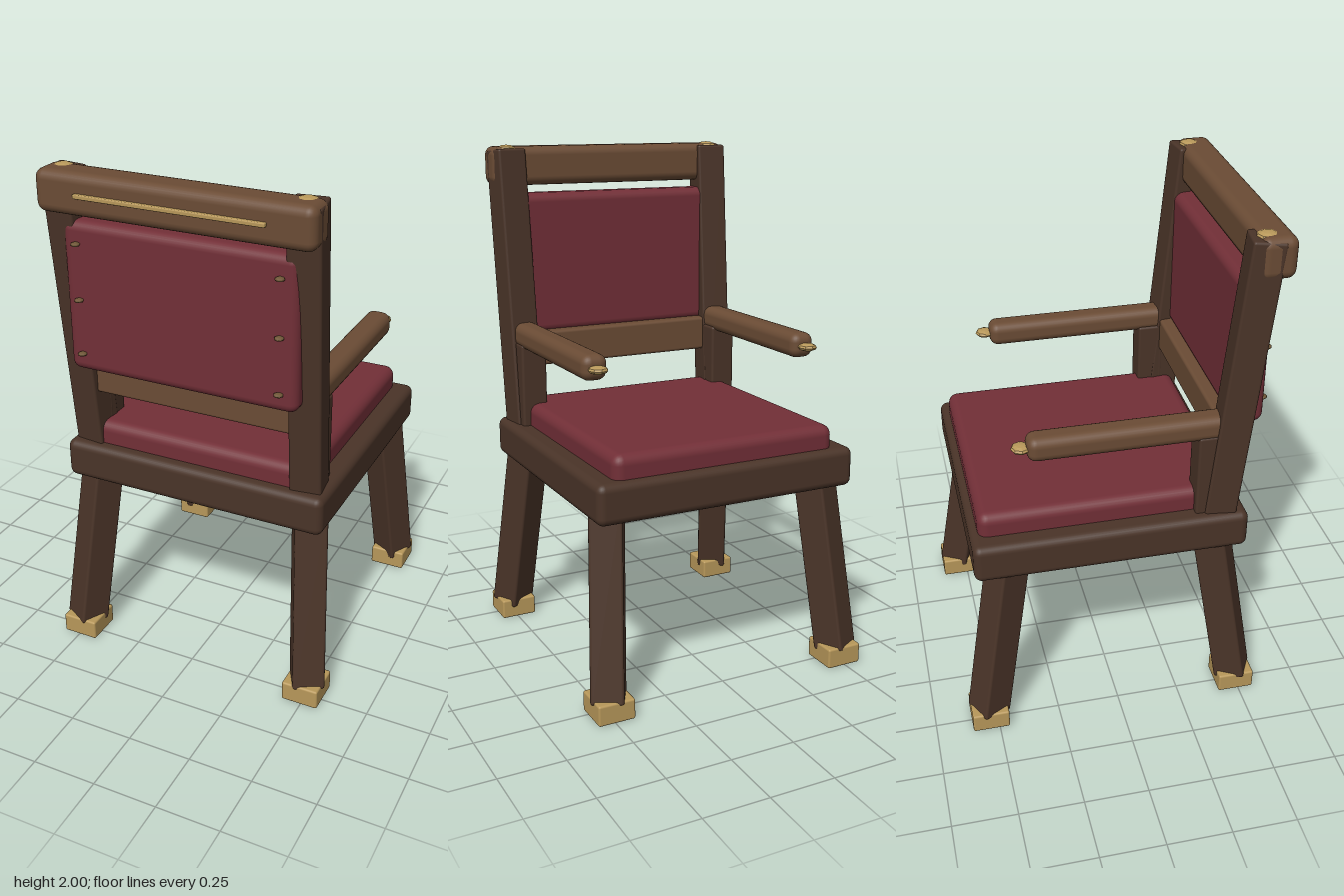
import * as THREE from 'three';
import { RoundedBoxGeometry } from 'three/addons/geometries/RoundedBoxGeometry.js';

const mat = (color) => new THREE.MeshStandardMaterial({ color });

export function createModel() {
  const group = new THREE.Group();
  const darkWood = mat(0x4a3428), wood = mat(0x6b4c35), fabric = mat(0x722f37);
  const brass = mat(0xb8985a), studMetal = mat(0x6e5636);

  function add(name, geometry, material, x, y, z) {
    const mesh = new THREE.Mesh(geometry, material);
    mesh.name = name;
    mesh.position.set(x, y, z);
    group.add(mesh);
    return mesh;
  }

  // Rounded box given by its lower and upper limits on each axis
  function block(name, material, [x0, x1], [y0, y1], [z0, z1], radius) {
    const geometry = new RoundedBoxGeometry(x1 - x0, y1 - y0, z1 - z0, 3, radius);
    return add(name, geometry, material, (x0 + x1) / 2, (y0 + y1) / 2, (z0 + z1) / 2);
  }

  // Square beam running between two points, turned about its own axis
  function beam(name, material, from, to, size, turn) {
    const a = new THREE.Vector3(...from), b = new THREE.Vector3(...to);
    const axis = b.clone().sub(a), mid = a.clone().lerp(b, 0.5);
    const geometry = new RoundedBoxGeometry(size, axis.length(), size, 2, 0.01);
    const mesh = add(name, geometry, material, mid.x, mid.y, mid.z);
    const up = new THREE.Vector3(0, 1, 0);
    mesh.quaternion.setFromUnitVectors(up, axis.normalize())
      .multiply(new THREE.Quaternion().setFromAxisAngle(up, turn));
  }

  // Faceted, flattened knob
  const knobMaterial = brass.clone();
  knobMaterial.flatShading = true;
  function knob(name, radius, flat, material, x, y, z) {
    add(name, new THREE.SphereGeometry(radius, 8, 6), material, x, y, z).scale.y = flat;
  }

  // Seat
  block('seatFrame', darkWood, [-0.535, 0.535], [0.73, 0.885], [-0.557, 0.497], 0.03);
  block('seatCushion', fabric, [-0.46, 0.46], [0.85, 0.975], [-0.527, 0.45], 0.04);

  // Backrest
  block('topRail', wood, [-0.523, 0.523], [1.84, 1.995], [0.46, 0.597], 0.035);
  block('lowerRail', wood, [-0.43, 0.43], [1.11, 1.25], [0.385, 0.465], 0.012);
  block('backCushion', fabric, [-0.452, 0.452], [1.235, 1.81], [0.43, 0.55], 0.035);
  block('railInlay', brass, [-0.357, 0.357], [1.912, 1.928], [0.585, 0.612], 0.004);

  for (const s of [1, -1]) {
    const range = (a, b) => (s > 0 ? [a, b] : [-b, -a]);

    // Back posts and their caps
    beam('backPost', darkWood, [s * 0.446, 0.8, 0.389], [s * 0.459, 1.983, 0.5], 0.12, s * 0.12);
    knob('postCap', 0.041, 0.4, knobMaterial, s * 0.457, 1.985, 0.5);

    // Armrests
    block('armrest', wood, range(0.39, 0.49), [1.2, 1.297], [-0.337, 0.42], 0.035);
    block('armSupport', darkWood, range(0.385, 0.49), [0.87, 1.22], [0.295, 0.4], 0.01);
    knob('armKnob', 0.038, 0.4, knobMaterial, s * 0.442, 1.248, -0.355);

    // Upholstery studs
    for (const y of [1.31, 1.52, 1.73]) {
      knob('stud', 0.018, 0.45, studMetal, s * 0.39, y, 0.56);
    }

    // Splayed legs with square brass feet
    for (const [name, footZ, topZ, turn] of [['frontLeg', -0.533, -0.42, -0.5], ['rearLeg', 0.488, 0.375, 0.5]]) {
      beam(name, darkWood, [s * 0.497, 0.055, footZ], [s * 0.445, 0.77, topZ], 0.124, s * turn);
      block(name + 'Foot', brass, range(0.421, 0.567), [0, 0.08], [footZ - 0.073, footZ + 0.073], 0.008);
    }
  }

  return group;
}
